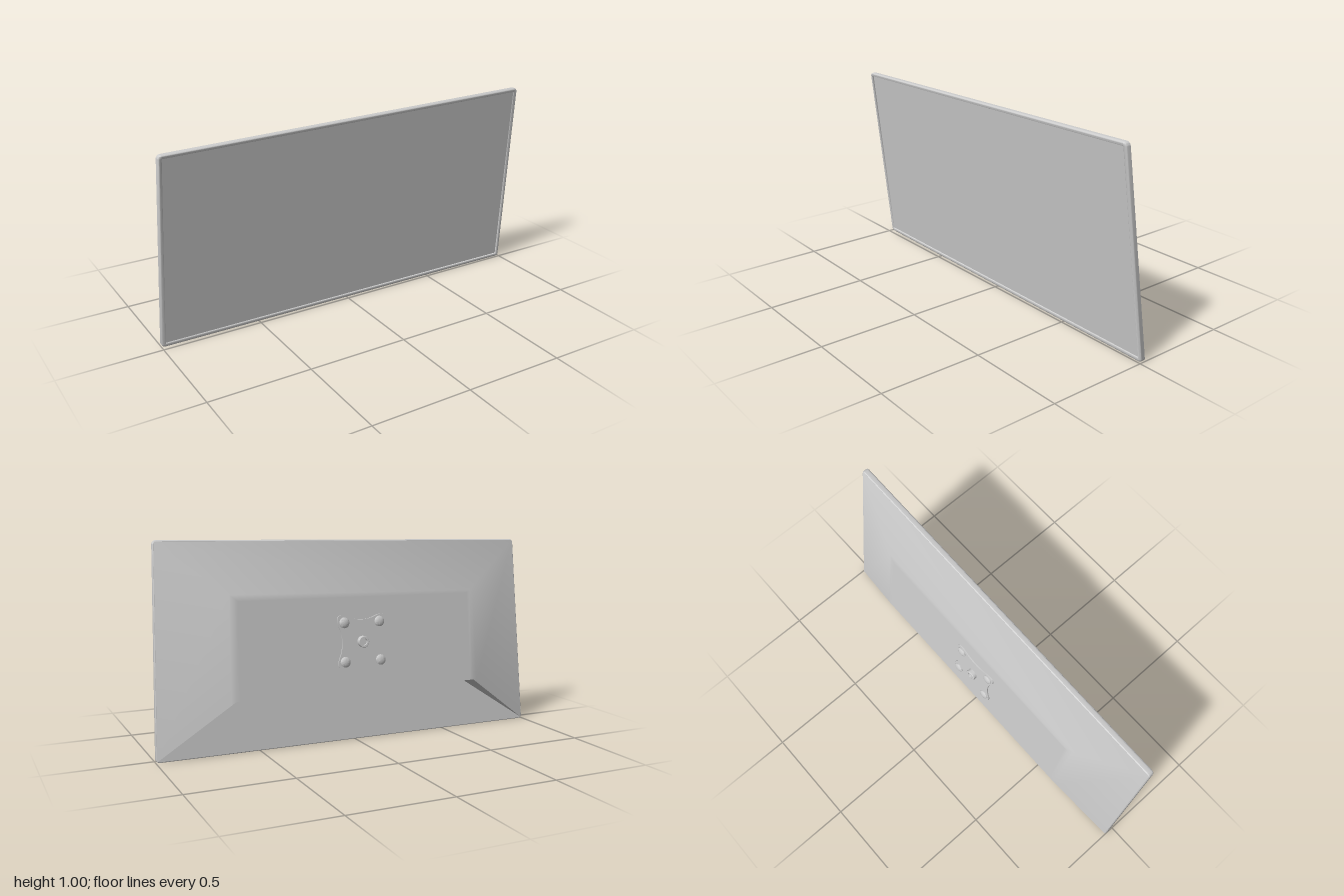
import * as THREE from 'three';
import { toCreasedNormals } from 'three/addons/utils/BufferGeometryUtils.js';

const RIM = 0.03;     // rim thickness
const BACK = 0.125;   // depth of the raised back plateau
const mat = new THREE.MeshStandardMaterial({ color: 0xcccccc });
const lerp = THREE.MathUtils.lerp;

// Parts are modelled upright (x -1..1, y 0..1, front at z 0), then leaned into the final pose.
function lean(geo, crease = 0.6) {
  const p = geo.attributes.position;
  for (let i = 0; i < p.count; i++) {
    const u = p.getX(i), v = p.getY(i), s = (u + 1) / 2;
    const x = lerp(lerp(-1, 1, s), lerp(-0.985, 0.955, s), v);
    const y = v * lerp(0.965, 1.005, s);
    p.setXYZ(i, x, y, p.getZ(i) - 0.013 + 0.0075 * u + 0.115 * y);
  }
  return toCreasedNormals(geo, crease);
}

function part(name, geo) {
  const mesh = new THREE.Mesh(lean(geo), mat);
  mesh.name = name;
  return mesh;
}

// Collects triangles, skipping collapsed ones
class Surface {
  constructor() { this.pos = []; }
  tri(a, b, c) {
    const area = b.clone().sub(a).cross(c.clone().sub(a)).length();
    if (area > 1e-9) for (const p of [a, b, c]) this.pos.push(p.x, p.y, p.z);
  }
  quad(a, b, c, d) { this.tri(a, b, c); this.tri(a, c, d); }
  skin(a, b, closed) {
    const n = a.length;
    for (let i = 0; i < (closed ? n : n - 1); i++) {
      const j = (i + 1) % n;
      this.quad(a[i], b[i], b[j], a[j]);
    }
  }
  geometry() {
    const g = new THREE.BufferGeometry();
    g.setAttribute('position', new THREE.Float32BufferAttribute(this.pos, 3));
    return g;
  }
}

const P = (x, y, z) => new THREE.Vector3(x, y, z);

// Rounded rectangle, counter-clockwise from the front
function loop(inset, z) {
  const r = Math.max(0.018 - inset, 0.003), pts = [], steps = 5;
  const w = 1 - inset - r, h = 0.5 - inset - r;
  [[1, 1], [-1, 1], [-1, -1], [1, -1]].forEach(([sx, sy], k) => {
    for (let i = 0; i <= steps; i++) {
      const a = (k + i / steps) * Math.PI / 2;
      pts.push(P(sx * w + r * Math.cos(a), 0.5 + sy * h + r * Math.sin(a), z));
    }
  });
  return pts;
}

function fan(surface, ring, z, flip) {
  const c = P(0, 0.5, z);
  ring.forEach((p, i) => {
    const q = ring[(i + 1) % ring.length];
    flip ? surface.tri(c, q, p) : surface.tri(c, p, q);
  });
}

// Bezel with rounded outer edges and a flat back that doubles as the lower back panel
function bezel() {
  const s = new Surface();
  const rings = [[0.02, -0.007], [0.018, -0.002], [0.014, 0]];
  for (let i = 0; i <= 3; i++) {
    const a = i / 3 * Math.PI / 2;
    rings.push([0.008 * (1 - Math.sin(a)), -0.008 * (1 - Math.cos(a))]);
  }
  rings.push([0, -RIM + 0.004], [0.004, -RIM]);
  const loops = rings.map(([inset, z]) => loop(inset, z));
  for (let i = 0; i + 1 < loops.length; i++) s.skin(loops[i], loops[i + 1], true);
  fan(s, loops[loops.length - 1], -RIM, true);
  return s.geometry();
}

function screen() {
  const s = new Surface();
  fan(s, loop(0.02, -0.007), -0.007, false);
  return s.geometry();
}

// Raised back: plateau, sloping top and sides, and the undercut ledge below
function backCover() {
  const s = new Surface();
  const arch = (u, bottom, top, z) =>
    [P(-u, bottom, z), P(-u, top, z), P(u, top, z), P(u, bottom, z)];
  const rim = arch(0.995, 0.005, 0.995, -RIM);
  const edge = arch(0.645, 0.265, 0.74, -BACK);
  const soft = edge.map((p, i) => p.clone().lerp(rim[i], 0.06));
  const inner = arch(0.625, 0.265, 0.725, -BACK);
  s.quad(...inner);
  s.skin(inner, edge);
  s.skin(edge, soft);
  s.skin(soft, rim);
  const upper = [rim[0], edge[0], edge[3], rim[3]];
  const lower = [rim[0], P(-0.64, 0.245, -RIM), P(0.64, 0.245, -RIM), rim[3]];
  for (let i = 0; i < 3; i++) s.quad(upper[i], upper[i + 1], lower[i + 1], lower[i]);
  return s.geometry();
}

// Mount plate: square with rounded lobes at the corners and hollowed edges
const CX = -0.01, CY = 0.507, PLATE = 0.006;
function plate() {
  const side = [[0.108, 0], [0.115, 0.05], [0.13, 0.09], [0.13, 0.12],
    [0.12, 0.13], [0.09, 0.13], [0.05, 0.115]];
  const pts = [];
  for (let k = 0; k < 4; k++)
    for (const [x, y] of side) pts.push(P(x, y, 0).applyAxisAngle(P(0, 0, 1), k * Math.PI / 2));
  const outline = new THREE.CatmullRomCurve3(pts, true).getPoints(84).slice(0, -1);
  const shape = new THREE.Shape(outline.map(p => new THREE.Vector2(p.x, p.y)));
  return new THREE.ExtrudeGeometry(shape, { depth: PLATE, bevelEnabled: false })
    .translate(CX, CY, -BACK - PLATE);
}

// Turned fitting standing on the plate and pointing backward
function turned(profile, x, y) {
  return new THREE.LatheGeometry(profile.map(([r, h]) => new THREE.Vector2(r, h)), 24)
    .rotateX(-Math.PI / 2).translate(CX + x, CY + y, -BACK - PLATE);
}

export function createModel() {
  const model = new THREE.Group();
  model.name = 'monitorPanel';
  model.add(part('bezel', bezel()), part('screen', screen()), part('backCover', backCover()));

  const mount = new THREE.Group();
  mount.name = 'wallMount';
  mount.add(part('mountPlate', plate()));
  const screw = [[0.026, 0], [0.026, 0.004], [0.021, 0.008], [0.012, 0.011], [0, 0.012]];
  for (const sx of [-1, 1])
    for (const sy of [-1, 1])
      mount.add(part('mountScrew', turned(screw, sx * 0.096, sy * 0.096)));
  const socket = [[0.028, 0], [0.028, 0.018], [0.026, 0.02], [0.017, 0.02], [0.017, 0.01], [0, 0.01]];
  mount.add(part('centreSocket', turned(socket, 0, 0)));
  model.add(mount);
  return model;
}
